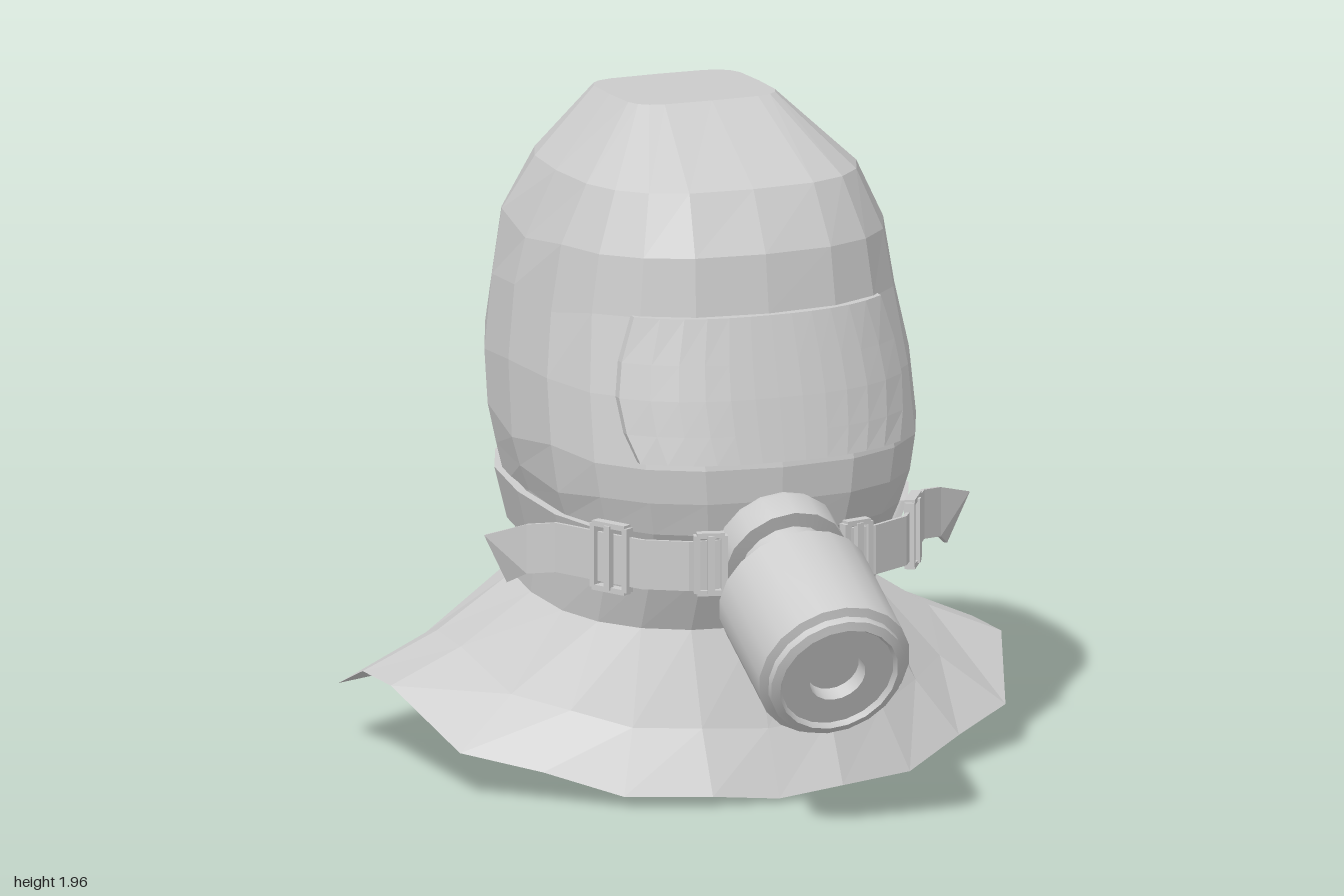
import * as THREE from 'three';
import { toCreasedNormals } from 'three/addons/utils/BufferGeometryUtils.js';

const SEG = 20;
const fabric = new THREE.MeshStandardMaterial({ color: 0xcccccc, flatShading: true, side: THREE.DoubleSide });
const smooth = new THREE.MeshStandardMaterial({ color: 0xcccccc, side: THREE.DoubleSide });
const lerp = THREE.MathUtils.lerp;

// Superellipse ring running from the front towards +x; its height may differ front to back
function ring([yf, yb, w, zf, zb, n = 2.5]) {
  return Array.from({ length: SEG }, (_, k) => {
    const a = (k / SEG) * Math.PI * 2;
    const bend = (v) => Math.sign(v) * Math.pow(Math.abs(v), 2 / n);
    const c = Math.abs(Math.cos(a)) < 1e-6 ? 0 : bend(Math.cos(a));
    const s = Math.abs(Math.sin(a)) < 1e-6 ? 0 : bend(Math.sin(a));
    return [w * s, lerp(yb, yf, (c + 1) / 2), (zf + zb) / 2 + ((zf - zb) / 2) * c];
  });
}

// Faceted skin through rows of points, listed from top to bottom
function loft(rows, closed) {
  const n = rows[0].length, index = [];
  for (let i = 0; i < rows.length - 1; i++) {
    for (let j = 0; j < (closed ? n : n - 1); j++) {
      const a = i * n + j, b = i * n + ((j + 1) % n);
      index.push(a, a + n, b, b, a + n, b + n);
    }
  }
  const g = new THREE.BufferGeometry();
  g.setAttribute('position', new THREE.Float32BufferAttribute(rows.flat(2), 3));
  g.setIndex(index);
  const flat = g.toNonIndexed();
  flat.computeVertexNormals();
  return flat;
}

function add(parent, name, geometry, material = fabric) {
  const m = new THREE.Mesh(geometry, material);
  m.name = name;
  parent.add(m);
  return m;
}

// Hood levels: front height, back height, half width, front z, back z, squareness
const LEVELS = [
  [1.955, 1.93, 0.23, -0.12, -0.57, 5],
  [1.77, 1.74, 0.43, 0.22, -0.73, 2.9],
  [1.6, 1.55, 0.515, 0.32, -0.88, 2.6],
  [1.43, 1.38, 0.55, 0.345, -0.895, 2.5],
  [1.2, 1.2, 0.58, 0.41, -0.9, 2.5],
  [1.0, 1.02, 0.585, 0.46, -0.865, 2.5],
  [0.9, 0.9, 0.565, 0.455, -0.835, 2.5],
  [0.8, 0.82, 0.535, 0.43, -0.82, 2.5],
  [0.66, 0.68, 0.5, 0.34, -0.8, 2.5],
  [0.48, 0.53, 0.5, 0.25, -0.8, 2.5],
];

// Front surface of the hood at a given height and x
function frontZ(y, x) {
  const i = Math.max(1, LEVELS.findIndex((l) => l[0] <= y + 1e-6));
  const a = LEVELS[i - 1], b = LEVELS[i], t = (a[0] - y) / (a[0] - b[0]);
  const [, , w, zf, zb, n] = a.map((v, k) => lerp(v, b[k], t));
  return (zf + zb) / 2 + ((zf - zb) / 2) * Math.pow(1 - Math.pow(Math.abs(x) / w, n), 1 / n);
}

// Half outline of the skirt hem, front centre to back centre
const HEM = [
  [0, 0.01, 0.43], [0.2, 0.03, 0.42], [0.44, 0.03, 0.33], [0.64, 0.09, 0.2],
  [0.84, 0.13, 0.05], [0.94, 0.27, -0.25], [0.94, 0.26, -0.48], [0.92, 0.165, -0.73],
  [0.61, 0.14, -0.935], [0.4, 0.05, -0.985], [0, 0, -1],
];

function buildHood(root) {
  // Head part, closed on top, slightly creased like soft sheet
  const rows = LEVELS.map(ring);
  rows.slice(2, 9).forEach((r, i) => r.forEach((p, k) => {
    const back = Math.min(k, SEG - k);
    if (back > 3 && back < 10) p[1] += 0.022 * Math.sin(back * 2.3 + i * 1.9);
  }));
  const top = rows[0].map(() => [0, 1.942, -0.35]);
  add(root, 'hood', loft([top, ...rows], true));

  // Flared shoulder skirt
  const neck = rows[rows.length - 1];
  const hem = neck.map((_, k) => {
    const [x, y, z] = HEM[Math.min(k, SEG - k)];
    return [k > SEG / 2 ? -x : x, y, z];
  });
  const mid = neck.map((p, k) => p.map((v, c) => lerp(v, hem[k][c], c === 1 ? 0.6 : 0.5)));
  add(root, 'skirt', loft([neck, mid, hem], true));
}

function buildVisor(root) {
  // Height and half width of each row; the first and last fold back into the hood
  const spec = [[1.43, 0.38], [1.43, 0.38], [1.3, 0.42], [1.2, 0.435], [1.1, 0.425], [1.02, 0.4], [1.02, 0.4]];
  const N = 12;
  const rows = spec.map(([y, w], i) => Array.from({ length: N + 3 }, (_, j) => {
    const u = THREE.MathUtils.clamp((j - 1) / N, 0, 1) * 2 - 1;
    const edge = i === 0 || i === spec.length - 1 || j === 0 || j === N + 2;
    return [u * w, y, frontZ(y, u * w) + (edge ? -0.05 : 0.02)];
  }));
  add(root, 'visor', loft(rows, false));
}

function buildStraps(root) {
  // Band around the back of the neck
  const band = [
    [0.79, 0.86, 0.54, 0.41, -0.815], [0.79, 0.86, 0.567, 0.43, -0.84],
    [0.64, 0.7, 0.522, 0.36, -0.825], [0.64, 0.7, 0.49, 0.33, -0.79],
  ].map((r) => ring(r).slice(3, 18));
  add(root, 'neckBand', loft(band, false));

  // Front strap with its loose tail: x, z, height of the middle
  const path = [
    [0.19, 0.46, 0.73], [0.28, 0.45, 0.73], [0.4, 0.38, 0.73], [0.46, 0.28, 0.73],
    [0.52, 0.17, 0.73], [0.56, 0.1, 0.73], [0.63, 0.05, 0.72], [0.705, -0.005, 0.685],
  ];
  for (const s of [1, -1]) {
    const side = new THREE.Group();
    side.name = s > 0 ? 'leftStrap' : 'rightStrap';
    root.add(side);
    const row = (e, d) => path.map(([x, z, y], i) => [
      s * (x + d + (i === path.length - 1 ? e * 0.035 : 0)), y + e * 0.073, z + d,
    ]);
    add(side, 'strap', loft([row(1, 0), row(1, 0.008), row(-1, 0.008), row(-1, 0), row(1, 0)], false));

    // Rectangular frames: sliding buckle and the clip beside the filter
    for (const [name, x, z, turn, w, h] of [['buckle', 0.465, 0.29, 1.05, 0.12, 0.19], ['clip', 0.225, 0.465, 0.25, 0.08, 0.17]]) {
      const frame = new THREE.Group();
      frame.name = name;
      frame.position.set(s * x, 0.735, z);
      frame.rotation.y = s * turn;
      side.add(frame);
      for (const e of [1, -1]) {
        add(frame, 'frameSide', new THREE.BoxGeometry(0.018, h, 0.03)).position.x = (e * w) / 2;
        add(frame, 'frameBar', new THREE.BoxGeometry(w, 0.016, 0.03)).position.y = (e * h) / 2;
      }
      add(frame, 'middleBar', new THREE.BoxGeometry(0.02, h, 0.02)).position.z = 0.012;
    }
  }
}

function buildFilter(root) {
  // Local y is the filter axis, pointing forwards and down
  const filter = new THREE.Group();
  filter.name = 'filter';
  filter.position.set(0, 0.655, 0.54);
  filter.rotation.x = 2.012;
  root.add(filter);
  const lathe = (pts, seg) => toCreasedNormals(
    new THREE.LatheGeometry(pts.map(([r, y]) => new THREE.Vector2(r, y)), seg), 0.6);
  add(filter, 'canister', lathe([
    [0, 0], [0.21, 0], [0.23, 0.015], [0.23, 0.375], [0.205, 0.385], [0.205, 0.41],
    [0.18, 0.42], [0.17, 0.405], [0.085, 0.405], [0.08, 0.36], [0, 0.36],
  ], 20), smooth);
  add(filter, 'connector', lathe([
    [0, -0.22], [0.12, -0.22], [0.17, -0.2], [0.185, -0.17], [0.185, -0.08], [0.14, -0.075],
    [0.14, -0.03], [0.155, -0.03], [0.155, 0.01], [0, 0.01],
  ], 16), smooth).position.z = -0.035;
}

export function createModel() {
  const root = new THREE.Group();
  root.name = 'escapeHood';
  buildHood(root);
  buildVisor(root);
  buildStraps(root);
  buildFilter(root);
  return root;
}
